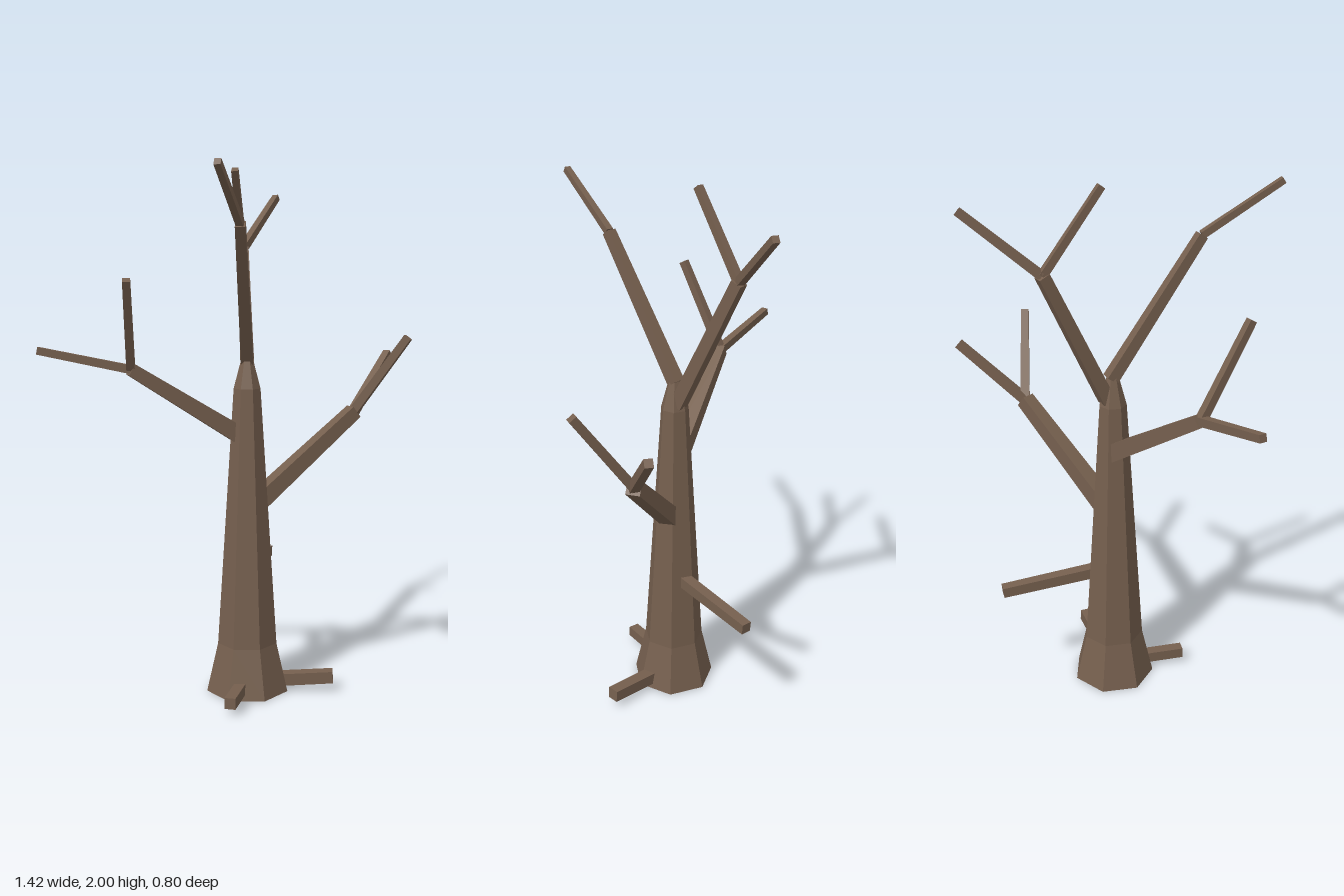
import * as THREE from 'three';

const bark = new THREE.MeshStandardMaterial({ color: 0x755f4e });
bark.name = 'bark brown';

// Unshared corners give every face its own flat normal
function facet(geometry) {
  const flat = geometry.toNonIndexed();
  flat.computeVertexNormals();
  return flat;
}

// Square tapered limb between two points, with its side faces kept upright
function limb(name, from, to, w0, w1) {
  const a = new THREE.Vector3(...from);
  const b = new THREE.Vector3(...to);
  const dir = b.clone().sub(a);
  const length = dir.length();
  dir.normalize();
  const side = new THREE.Vector3().crossVectors(dir, new THREE.Vector3(0, 1, 0)).normalize();
  const third = new THREE.Vector3().crossVectors(side, dir);
  const geometry = new THREE.CylinderGeometry(w1 * Math.SQRT1_2, w0 * Math.SQRT1_2, length, 4);
  geometry.rotateY(Math.PI / 4);
  geometry.applyMatrix4(new THREE.Matrix4().makeBasis(side, dir, third));
  const mesh = new THREE.Mesh(facet(geometry), bark);
  mesh.name = name;
  mesh.position.copy(a).add(b).multiplyScalar(0.5);
  return mesh;
}

export function createModel() {
  const tree = new THREE.Group();
  tree.name = 'bareTree';

  // Seven-sided trunk with a flared foot and a narrowing tip
  const profile = [[0, 0], [0.16, 0], [0.116, 0.19], [0.052, 1.18], [0.02, 1.3], [0, 1.3]]
    .map(([r, y]) => new THREE.Vector2(r, y));
  const trunk = new THREE.Mesh(facet(new THREE.LatheGeometry(profile, 7, Math.PI / 2)), bark);
  trunk.name = 'trunk';
  trunk.position.z = -0.055;
  tree.add(trunk);

  // Each bough carries its twigs at its far end
  const boughs = [
    { name: 'leftBough', from: [0.04, 0.745, -0.04], to: [0.445, 1.07, 0.053], w: [0.066, 0.052],
      twigs: [[0.695, 1.285, -0.02], [0.55, 1.365, 0.24]], tw: 0.03 },
    { name: 'rightBough', from: [-0.02, 1.0, -0.075], to: [-0.415, 1.262, -0.208], w: [0.065, 0.047],
      twigs: [[-0.7, 1.333, -0.385], [-0.52, 1.587, -0.055]], tw: 0.027 },
    { name: 'frontBough', from: [0.005, 1.28, -0.06], to: [-0.222, 1.775, 0.203], w: [0.046, 0.036],
      twigs: [[-0.447, 1.955, 0.387]], tw: 0.023 },
    { name: 'backBough', from: [0.015, 1.2, -0.07], to: [0.147, 1.703, -0.278], w: [0.05, 0.042],
      twigs: [[0, 1.99, -0.13], [0.4, 1.917, -0.387]], tw: 0.025 },
    { name: 'brokenBranch', from: [0.04, 0.48, -0.08], to: [0.325, 0.445, -0.345], w: [0.044, 0.04],
      twigs: [], tw: 0 },
    { name: 'leftRoot', from: [0.08, 0.04, 0.015], to: [0.25, 0.057, 0.165], w: [0.047, 0.046],
      twigs: [], tw: 0 },
    { name: 'rightRoot', from: [-0.07, 0.042, 0.005], to: [-0.22, 0.045, 0.13], w: [0.042, 0.042],
      twigs: [], tw: 0 },
  ];
  for (const { name, from, to, w, twigs, tw } of boughs) {
    tree.add(limb(name, from, to, ...w));
    twigs.forEach((tip, i) => tree.add(limb(`${name}Twig${i + 1}`, to, tip, tw * 1.15, tw)));
  }
  return tree;
}
